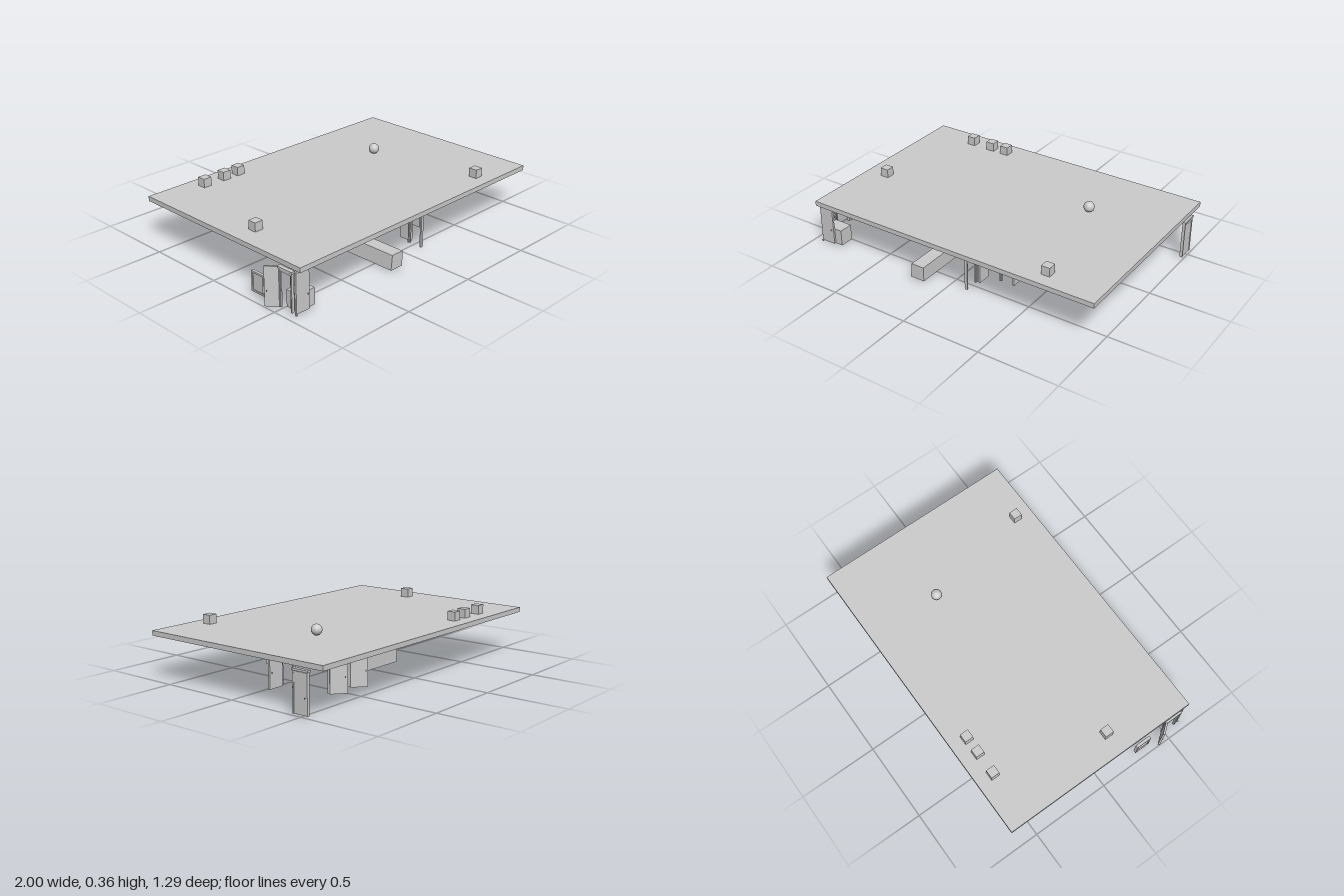
import * as THREE from 'three';

const mat = new THREE.MeshStandardMaterial({ color: 0xcccccc });

function add(parent, name, geo, x, y, z) {
  const m = new THREE.Mesh(geo, mat);
  m.name = name;
  m.position.set(x, y, z);
  parent.add(m);
  return m;
}

// Box given by its min and max corners
function box(parent, name, x0, x1, y0, y1, z0, z1) {
  return add(parent, name, new THREE.BoxGeometry(x1 - x0, y1 - y0, z1 - z0),
    (x0 + x1) / 2, (y0 + y1) / 2, (z0 + z1) / 2);
}

function subgroup(parent, name, x, z, degrees) {
  const g = new THREE.Group();
  g.name = name;
  g.position.set(x, 0, z);
  g.rotation.y = THREE.MathUtils.degToRad(degrees);
  parent.add(g);
  return g;
}

// Open doorway surround, running along local x
function doorFrame(parent, x, z, degrees) {
  const g = subgroup(parent, 'doorFrame', x, z, degrees);
  for (const s of [-1, 1]) {
    add(g, 'framePost', new THREE.BoxGeometry(0.008, 0.23, 0.018), s * 0.047, 0.123, 0);
    add(g, 'frameTrim', new THREE.BoxGeometry(0.006, 0.22, 0.01), s * 0.04, 0.118, 0);
  }
  add(g, 'frameHead', new THREE.BoxGeometry(0.102, 0.01, 0.018), 0, 0.232, 0);
  add(g, 'frameCornice', new THREE.BoxGeometry(0.112, 0.012, 0.024), 0, 0.246, 0);
}

// Door leaf running along local x from its hinge
function doorLeaf(parent, x, z, degrees, length) {
  const g = subgroup(parent, 'doorLeaf', x, z, degrees);
  box(g, 'doorPanel', 0, length, 0.008, 0.248, -0.006, 0.006);
  box(g, 'doorHandle', length - 0.016, length - 0.012, 0.1, 0.106, -0.014, 0.014);
}

// Window with a raised surround, in a plane of constant x
function windowUnit(parent, x, y0, y1, z0, z1) {
  const g = new THREE.Group();
  g.name = 'window';
  parent.add(g);
  const t = 0.01, d = 0.009;
  box(g, 'windowSide', x - d, x + d, y0, y1, z0, z0 + t);
  box(g, 'windowSide', x - d, x + d, y0, y1, z1 - t, z1);
  box(g, 'windowSill', x - d, x + d, y0, y0 + t, z0 + t, z1 - t);
  box(g, 'windowHead', x - d, x + d, y1 - t, y1, z0 + t, z1 - t);
  box(g, 'windowPane', x - 0.003, x + 0.003, y0 + t, y1 - t, z0 + t, z1 - t);
}

export function createModel() {
  const model = new THREE.Group();
  model.name = 'floorPlan';

  // Ceiling slab and the markers standing on it
  box(model, 'ceiling', -0.945, 0.99, 0.265, 0.295, -0.645, 0.645);
  const markers = [[-0.61, -0.535], [-0.46, -0.535], [-0.35, -0.535], [-0.8, 0.14], [0.64, 0.535]];
  for (const [x, z] of markers)
    add(model, 'markerCube', new THREE.BoxGeometry(0.055, 0.055, 0.055), x, 0.3225, z);
  add(model, 'markerBall', new THREE.SphereGeometry(0.033, 32, 16), 0.488, 0.328, -0.17);

  // Large cabinet and small box
  box(model, 'cabinet', -0.225, 0.1, 0.008, 0.24, -0.205, -0.12);
  box(model, 'lowBox', -0.92, -0.8, 0.008, 0.11, 0.51, 0.6);

  // Long counter, narrowing slightly to the top
  const counter = box(model, 'counter', -0.235, -0.14, 0.008, 0.1, 0.01, 0.635);
  const p = counter.geometry.attributes.position;
  for (let i = 0; i < p.count; i++)
    if (p.getY(i) > 0 && p.getX(i) < 0) p.setX(i, p.getX(i) + 0.01);
  counter.geometry.computeVertexNormals();

  // Doorways: frame x, z, turn, then leaf hinge x, z, turn, length
  const doors = [
    [0.984, -0.49, 90, 0.984, -0.445, 90, 0.094],
    [0.625, -0.07, 90, 0.632, -0.034, 0, 0.106],
    [0.545, -0.348, 0, 0.596, -0.356, 140, 0.1],
    [0.364, -0.348, 0, 0.415, -0.356, 140, 0.1],
    [0.272, 0.376, 0, 0.315, 0.372, 90, 0.1],
    [0.113, 0.515, 90, 0.136, 0.467, 90, 0.085],
    [-0.944, 0.535, 90, -0.944, 0.49, 128, 0.086],
  ];
  for (const [fx, fz, fa, lx, lz, la, len] of doors) {
    doorFrame(model, fx, fz, fa);
    doorLeaf(model, lx, lz, la, len);
  }

  // Single door panel at the front corner
  doorLeaf(model, -0.945, 0.606, 0, 0.095);
  box(model, 'doorStop', -0.95, -0.94, 0, 0.01, 0.604, 0.616);

  // Windows
  windowUnit(model, 0.107, 0.115, 0.24, 0.065, 0.165);
  windowUnit(model, -0.948, 0.025, 0.15, 0.272, 0.372);

  return model;
}
